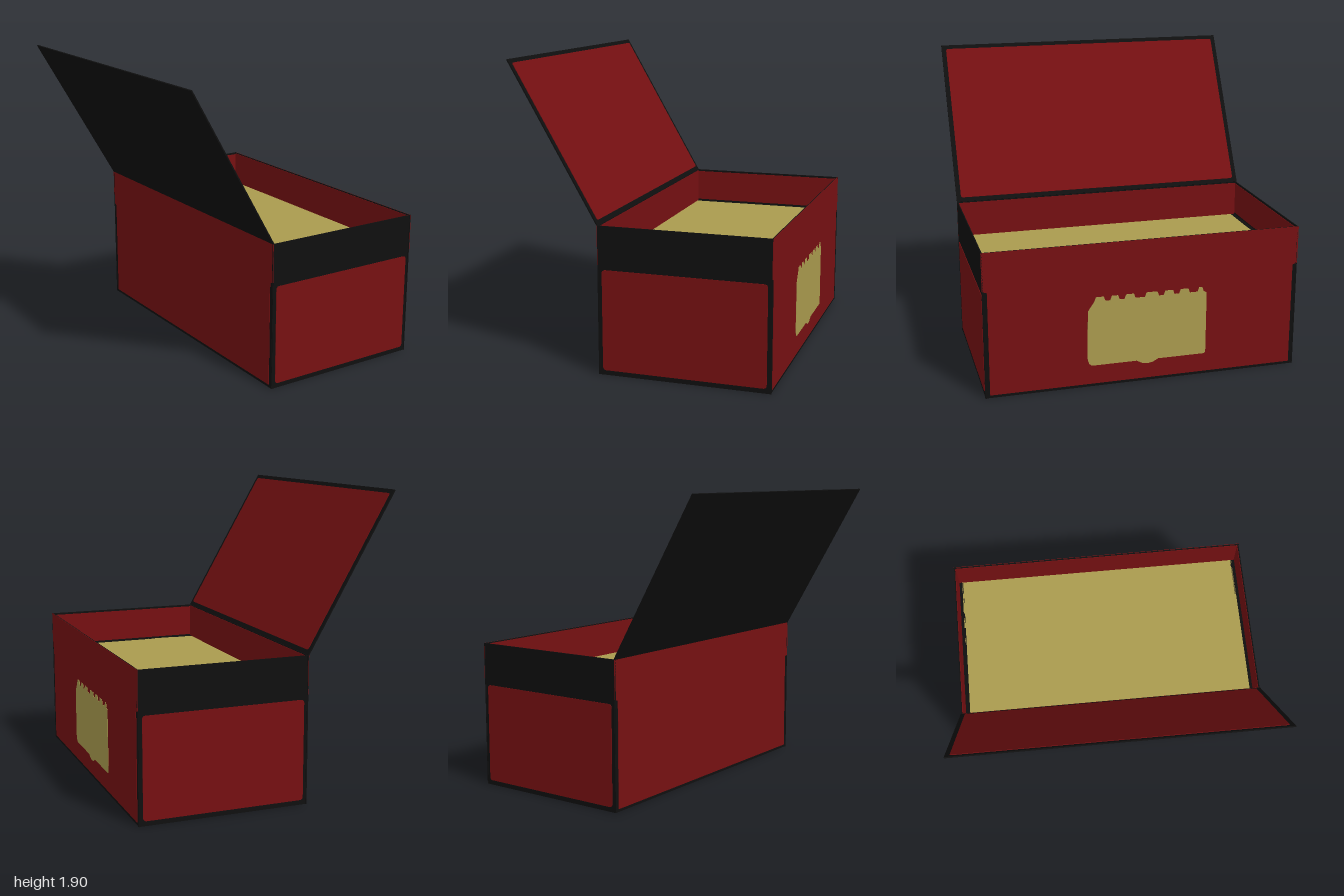
import * as THREE from 'three';

const material = (name, color) => {
  const m = new THREE.MeshStandardMaterial({ color });
  m.name = name;
  return m;
};

// Rectangle outline with rounded corners
function roundedRect(x0, y0, x1, y1, r) {
  const s = new THREE.Shape();
  s.absarc(x1 - r, y1 - r, r, 0, Math.PI / 2);
  s.absarc(x0 + r, y1 - r, r, Math.PI / 2, Math.PI);
  s.absarc(x0 + r, y0 + r, r, Math.PI, Math.PI * 1.5);
  s.absarc(x1 - r, y0 + r, r, Math.PI * 1.5, Math.PI * 2);
  return s;
}

export function createModel() {
  const group = new THREE.Group();
  const black = material('black trim', 0x0f0f0f);
  const red = material('dark red card', 0x761012);
  const gold = material('dull gold', 0xaa9b4e);

  const X0 = -0.26, X1 = 0.82, CX = (X0 + X1) / 2, H = 0.93, FILL = 0.69;
  const SKIN = 0.003, WALL = 0.006;
  const W = X1 - X0;

  const add = (name, geo, mat, x = 0, y = 0, z = 0, parent = group) => {
    const mesh = new THREE.Mesh(geo, mat);
    mesh.name = name;
    mesh.position.set(x, y, z);
    parent.add(mesh);
    return mesh;
  };
  const box = (name, mat, w, h, d, x, y, z, parent) =>
    add(name, new THREE.BoxGeometry(w, h, d), mat, x, y, z, parent);
  // Thin panel whose face looks along +z before turning
  const panel = (name, mat, shape, x, y, z, ry, parent) => {
    const geo = new THREE.ExtrudeGeometry(shape, { depth: SKIN, bevelEnabled: false, curveSegments: 4 });
    const mesh = add(name, geo, mat, x, y, z, parent);
    mesh.rotation.y = ry;
    return mesh;
  };

  // End walls: black with a red panel outside and a red lining inside
  for (const s of [1, -1]) {
    const end = s > 0 ? 'front' : 'back';
    box(end + 'Wall', black, W, H, WALL, CX, H / 2, s * (1 - SKIN - WALL / 2));
    panel(end + 'Panel', red, roundedRect(-W / 2 + 0.028, 0.03, W / 2 - 0.028, 0.66, 0.02),
      CX, 0, s * (1 - SKIN), s > 0 ? 0 : Math.PI);
    box(end + 'Lining', red, W - 0.02, H - FILL - 0.025, SKIN,
      CX, (H + FILL) / 2, s * (1 - SKIN - WALL - SKIN / 2));
    // Black edging of the contents
    box(end + 'FillEdge', black, W - 0.012, 0.006, 0.03, CX, FILL, s * 0.976);
  }

  // Long walls: red, with black posts and a black foot line
  const side = new THREE.Shape();
  [[-1, FILL], [-0.97, FILL - 0.01], [-0.97, 0.018], [0.97, 0.018], [0.97, FILL - 0.01],
    [1, FILL], [1, H], [-1, H]].forEach(([x, y], i) => (i ? side.lineTo(x, y) : side.moveTo(x, y)));
  for (const s of [1, -1]) {
    const name = s > 0 ? 'left' : 'right';
    const edge = s > 0 ? X1 : X0;
    box(name + 'Wall', black, WALL, H, 2, edge - s * (SKIN + WALL / 2), H / 2, 0);
    panel(name + 'Panel', red, side, edge - s * SKIN, 0, 0, s * Math.PI / 2);
    box(name + 'Lining', red, SKIN, H - FILL - 0.006, 1.975,
      edge - s * (SKIN + WALL + SKIN / 2), (H + FILL) / 2 - 0.003, 0);
  }

  // Bottom and contents
  box('bottom', black, W - 0.006, 0.01, 1.994, CX, 0.008, 0);
  box('bottomPanel', red, W - 0.03, SKIN, 1.95, CX, SKIN / 2, 0);
  box('contents', gold, W - 0.016, 0.006, 1.94, CX, FILL, 0);

  // Label with a notched top edge and a small bulge below
  const label = new THREE.Shape();
  label.moveTo(-0.33, 0.14);
  label.lineTo(-0.05, 0.14);
  label.quadraticCurveTo(0.02, 0.09, 0.09, 0.14);
  label.lineTo(0.39, 0.14);
  label.lineTo(0.4, 0.15);
  label.lineTo(0.4, 0.55);
  const teeth = [[0.34, 0.38], [0.22, 0.29], [0.12, 0.19], [0, 0.09], [-0.13, -0.06],
    [-0.22, -0.16], [-0.32, -0.25]];
  for (const [a, b] of teeth) {
    label.lineTo(b, 0.56);
    label.lineTo(b - 0.01, 0.588);
    label.lineTo(a + 0.01, 0.588);
    label.lineTo(a, 0.56);
  }
  label.lineTo(-0.36, 0.5);
  label.lineTo(-0.365, 0.2);
  label.quadraticCurveTo(-0.36, 0.14, -0.33, 0.14);
  panel('label', gold, label, X1 - 0.001, 0, 0, Math.PI / 2);

  // Open lid, hinged on the right wall
  const lid = new THREE.Group();
  lid.name = 'lid';
  lid.position.set(X0 + 0.004, H, 0);
  lid.rotation.z = Math.PI / 6;
  group.add(lid);
  const L = 1.12;
  box('lidBoard', black, 0.008, L, 2, 0, L / 2, 0, lid);
  panel('lidLining', red, roundedRect(-0.97, 0.028, 0.97, L - 0.028, 0.015), 0.004, 0, 0, Math.PI / 2, lid);

  return group;
}
